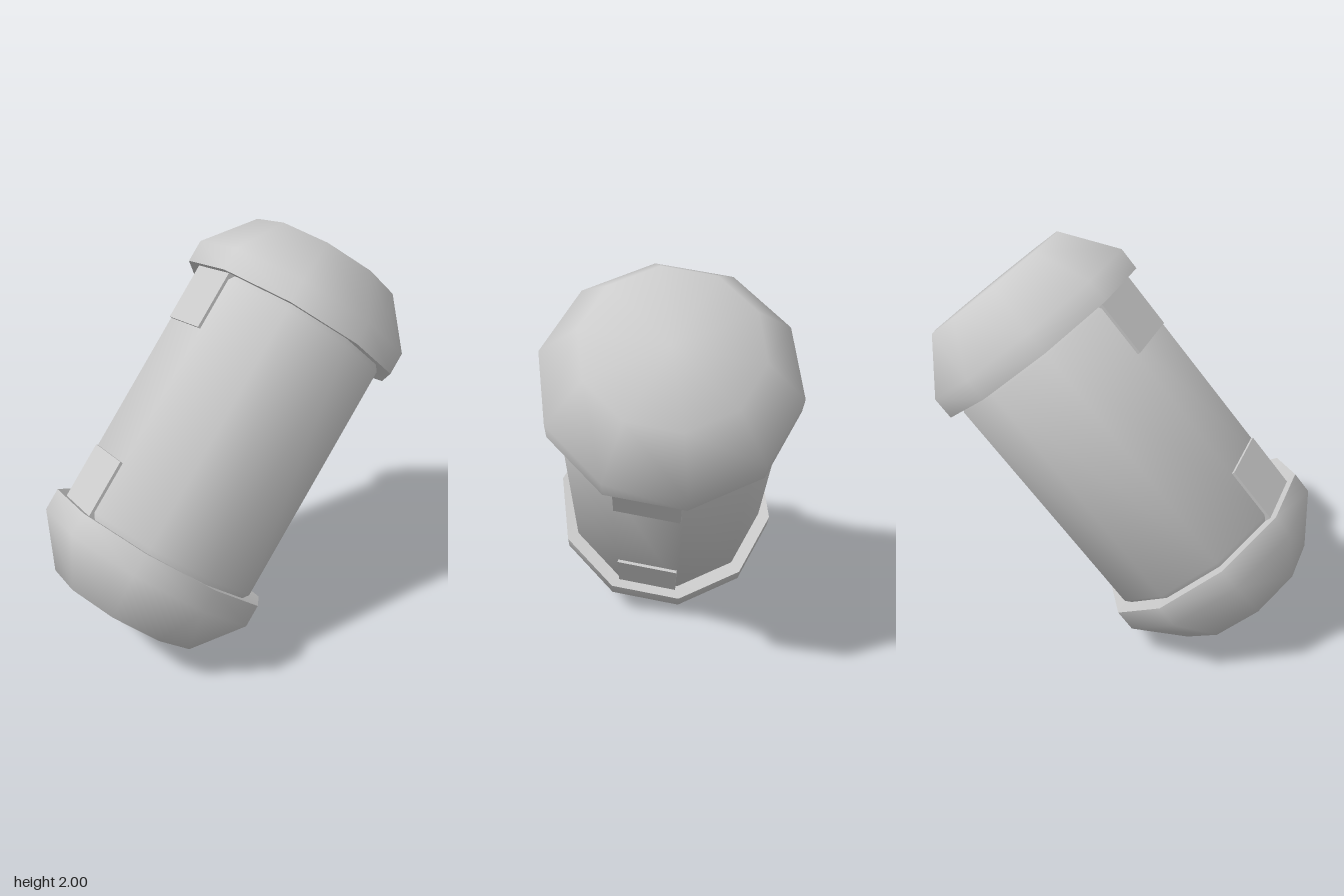
import * as THREE from 'three';
import { toCreasedNormals } from 'three/addons/utils/BufferGeometryUtils.js';

const SIDES = 10;
const material = new THREE.MeshStandardMaterial({ color: 0xcccccc });

// Ten-sided turned part from [radius, height] pairs, smooth except at hard edges
function turned(name, profile) {
  const points = profile.map(([r, y]) => new THREE.Vector2(r, y));
  const geometry = toCreasedNormals(new THREE.LatheGeometry(points, SIDES), THREE.MathUtils.degToRad(60));
  const mesh = new THREE.Mesh(geometry, material);
  mesh.name = name;
  return mesh;
}

export function createModel() {
  const model = new THREE.Group();
  model.name = 'canister';

  // Upright canister, turned about its own axis
  const canister = new THREE.Group();
  canister.name = 'canisterParts';
  canister.rotation.y = THREE.MathUtils.degToRad(-7.5);

  // Body with bevelled ends
  canister.add(turned('body', [[0.465, -0.67], [0.513, -0.605], [0.513, 0.605], [0.465, 0.67]]));

  // Flat-ended caps with an overhanging rim
  const capProfile = [[0.44, 0.64], [0.575, 0.626], [0.575, 0.735], [0.39, 0.973], [0, 0.973]];
  const topCap = turned('topCap', capProfile);
  const bottomCap = turned('bottomCap', capProfile);
  bottomCap.rotation.z = Math.PI;
  canister.add(topCap, bottomCap);

  // Clips reaching from each cap onto two opposite faces of the body
  const clipGeometry = new THREE.BoxGeometry(0.3, 0.33, 0.1);
  for (const angle of [-18, 162]) {
    for (const end of [1, -1]) {
      const clip = new THREE.Mesh(clipGeometry, material);
      clip.name = end > 0 ? 'topClip' : 'bottomClip';
      const a = THREE.MathUtils.degToRad(angle);
      clip.position.set(0.452 * Math.sin(a), end * 0.515, 0.452 * Math.cos(a));
      clip.rotation.y = a;
      canister.add(clip);
    }
  }

  // Lean the whole canister back and to its left
  const axis = new THREE.Vector3(0.181, 0.775, -0.605).normalize();
  const side = new THREE.Vector3(1, 0, 0).addScaledVector(axis, -axis.x).normalize();
  const front = new THREE.Vector3().crossVectors(side, axis);
  const tilt = new THREE.Group();
  tilt.name = 'leaningCanister';
  tilt.quaternion.setFromRotationMatrix(new THREE.Matrix4().makeBasis(side, axis, front));
  tilt.position.y = 1;
  tilt.add(canister);
  model.add(tilt);
  return model;
}
